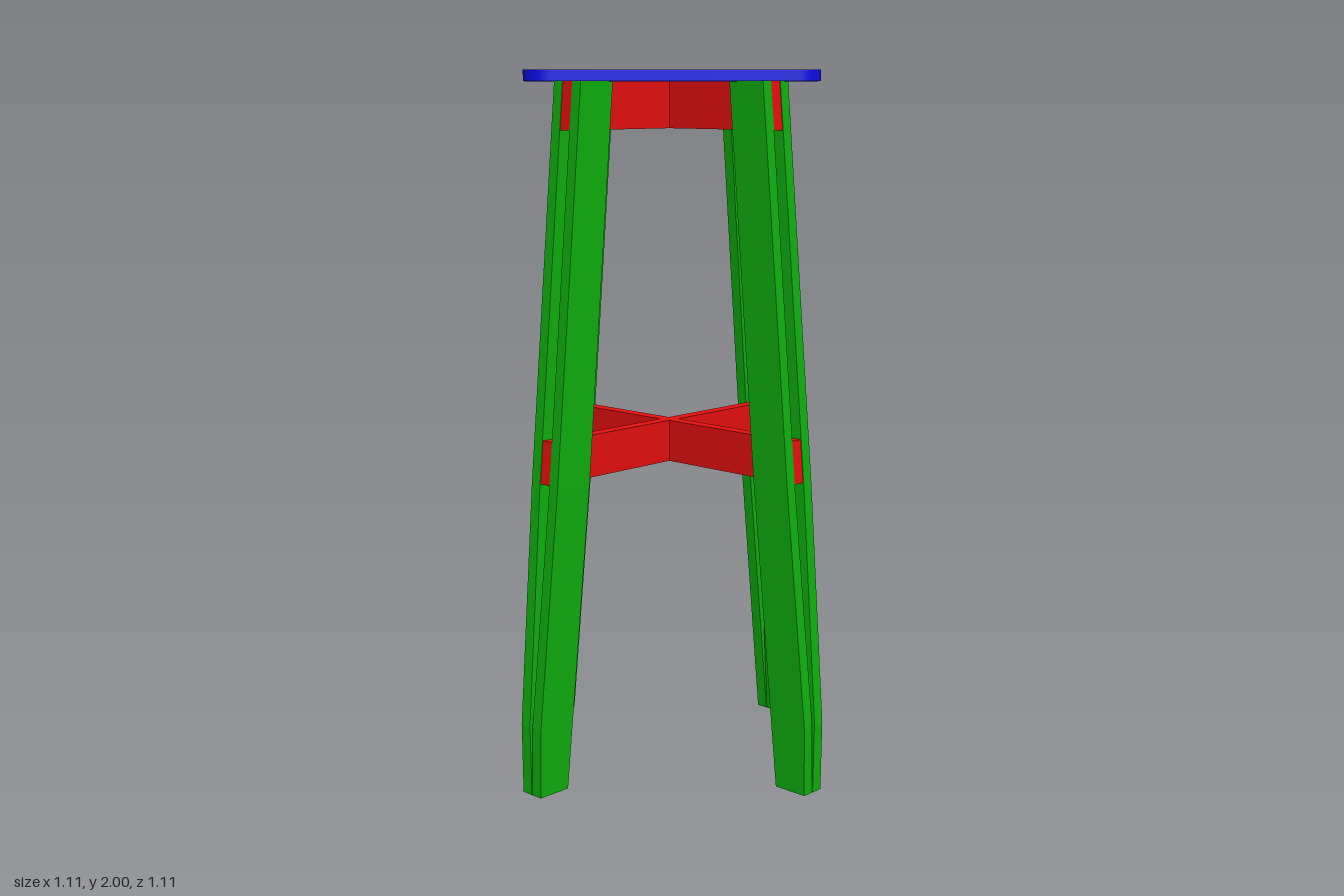
import * as THREE from 'three';

const material = (color) => new THREE.MeshStandardMaterial({ color, flatShading: true });
const lerp = THREE.MathUtils.lerp;

const TOP = 1.97; // underside of the seat
const FOOT = 0.2; // the outer edge of a leg is upright below this height
const BEND = 0.87; // planks run parallel above, pinch together below

// Leg outline, measured outward from the centre axis
const outer = (y) => (y <= FOOT ? 0.557 : lerp(0.557, 0.395, (y - FOOT) / (TOP - FOOT)));
const inner = (y) => lerp(0.453, 0.275, y / TOP);

// One plank of a leg pair; side is +1 or -1
function plankGeometry(side) {
  const levels = [0, FOOT, BEND, TOP];
  const geometry = new THREE.BoxGeometry(2, 3, 2, 1, 3, 1);
  const p = geometry.attributes.position;
  for (let i = 0; i < p.count; i++) {
    const y = levels[Math.round(p.getY(i) + 1.5)];
    const t = Math.min(1, y / BEND);
    const near = lerp(0.001, 0.019, t);
    const far = lerp(0.036, 0.052, t);
    const z = p.getZ(i) * side > 0 ? far : near;
    p.setXYZ(i, p.getX(i) > 0 ? outer(y) : inner(y), y, z * side);
  }
  geometry.computeVertexNormals();
  return geometry;
}

// Half a cross rail, from the centre to the sloping outer edge of a leg
function railGeometry(y0, y1) {
  const shape = new THREE.Shape([
    new THREE.Vector2(0, y0),
    new THREE.Vector2(outer(y0) - 0.002, y0),
    new THREE.Vector2(outer(y1) - 0.002, y1),
    new THREE.Vector2(0, y1),
  ]);
  return new THREE.ExtrudeGeometry(shape, { depth: 0.038, bevelEnabled: false }).translate(0, 0, -0.019);
}

// Square board turned by 45 degrees, with rounded corners
function seatGeometry() {
  const shape = new THREE.Shape();
  const reach = 0.46, radius = 0.07;
  for (let i = 0; i < 4; i++) {
    const a = (i * Math.PI) / 2;
    shape.absarc(reach * Math.cos(a), reach * Math.sin(a), radius, a - Math.PI / 4, a + Math.PI / 4, false);
  }
  shape.closePath();
  return new THREE.ExtrudeGeometry(shape, { depth: 2 - TOP, bevelEnabled: false, curveSegments: 12 })
    .rotateX(-Math.PI / 2)
    .translate(0, TOP, 0);
}

export function createModel() {
  const model = new THREE.Group();
  model.name = 'stool';
  const green = material(0x0fb00f);
  const red = material(0xe60f0f);
  const blue = material(0x0d0de6);

  const add = (parent, name, geometry, mat) => {
    const mesh = new THREE.Mesh(geometry, mat);
    mesh.name = name;
    parent.add(mesh);
  };

  const planks = [plankGeometry(1), plankGeometry(-1)];
  const upperRail = railGeometry(1.84, TOP);
  const lowerRail = railGeometry(0.88, 1.0);

  // Four identical legs, each with its share of the crossed rails
  ['left', 'back', 'right', 'front'].forEach((name, i) => {
    const leg = new THREE.Group();
    leg.name = name + 'Leg';
    leg.rotation.y = (i * Math.PI) / 2;
    planks.forEach((geometry, k) => add(leg, 'legPlank' + (k + 1), geometry, green));
    add(leg, 'upperRail', upperRail, red);
    add(leg, 'lowerRail', lowerRail, red);
    model.add(leg);
  });

  add(model, 'seat', seatGeometry(), blue);
  return model;
}
